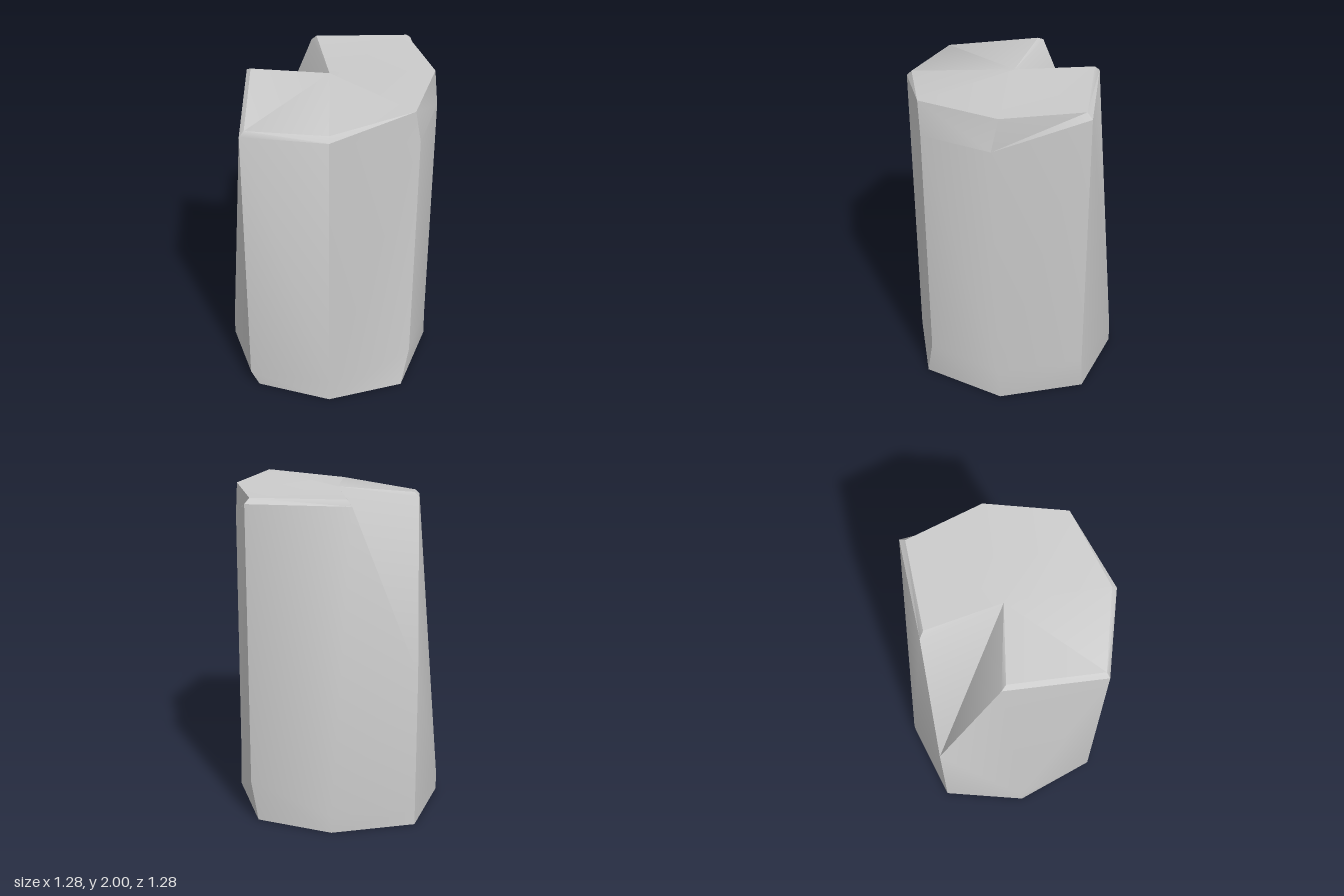
import * as THREE from 'three';
import { toCreasedNormals } from 'three/addons/utils/BufferGeometryUtils.js';

export function createModel() {
  // Rings of 8 points, from the front +x corner round by +x, the back and -x.
  // Even columns are corners, odd columns are side middles, column 4 is the notched corner.
  const base = [[0.46, 0, 0.5], [0.64, 0, 0], [0.46, 0, -0.5], [0, 0, -0.64],
    [-0.5, 0, -0.5], [-0.64, 0, 0], [-0.45, 0, 0.5], [0, 0, 0.64]];
  const low = [[0.505, 0.26, 0.455], [0.635, 0.2, 0.01], [0.5, 0.25, -0.495], [0, 0.11, -0.64],
    [-0.5, 0.1, -0.5], [-0.64, 0.11, 0], [-0.5, 0.1, 0.49], [0, 0.15, 0.64]];
  const high = [[0.505, 1.8, 0.455], [0.628, 1.8, 0.04], [0.495, 1.97, -0.495], [-0.11, 1.96, -0.485],
    [-0.5, 0.97, -0.5], [-0.485, 1.95, -0.11], [-0.495, 1.85, 0.49], [0, 1.9, 0.64]];
  const rim = [[0.47, 2, 0.47], [0.61, 2, 0], [0.47, 2, -0.463], [-0.08, 1.995, -0.458],
    null, [-0.46, 1.97, -0.08], [-0.467, 1.88, 0.475], [0, 1.93, 0.61]];
  const centre = [0, 1.983, 0];
  const tip = high[4];

  const positions = [];
  const tri = (...pts) => pts.forEach((p) => positions.push(...p));
  const quad = (a, b, c, d) => { tri(a, b, c); tri(a, c, d); };

  // Quad between two rings, split from the lower side middle to the upper corner
  const panel = (lower, upper, i, j) => {
    if (i % 2) quad(lower[i], lower[j], upper[j], upper[i]);
    else quad(lower[j], upper[j], upper[i], lower[i]);
  };

  for (let i = 0; i < 8; i++) {
    const j = (i + 1) % 8;
    tri([0, 0, 0], base[j], base[i]); // underside
    panel(base, low, i, j); // foot
    panel(low, high, i, j); // sides
    if (rim[i] && rim[j]) {
      panel(high, rim, i, j); // bevel
      tri(centre, rim[i], rim[j]); // top
    }
  }
  // Notch walls
  quad(centre, rim[3], high[3], tip);
  quad(centre, tip, high[5], rim[5]);

  const geometry = new THREE.BufferGeometry();
  geometry.setAttribute('position', new THREE.Float32BufferAttribute(positions, 3));
  const column = new THREE.Mesh(
    toCreasedNormals(geometry, 0.7),
    new THREE.MeshStandardMaterial({ color: 0xcccccc }),
  );
  column.name = 'notchedColumn';

  const group = new THREE.Group();
  group.name = 'stonePillar';
  group.add(column);
  return group;
}
